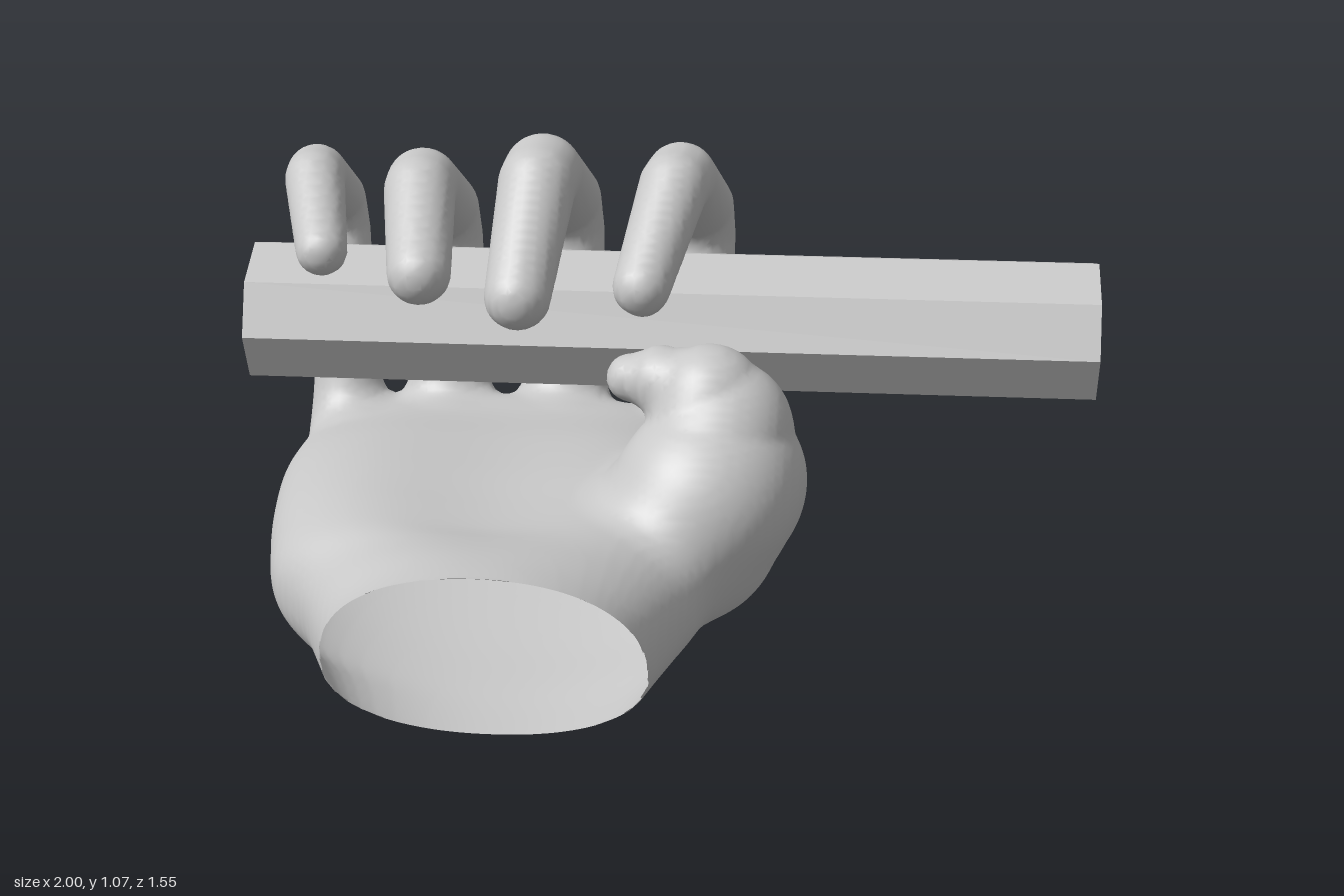
import * as THREE from 'three';

const grey = new THREE.MeshStandardMaterial({ color: 0xc8c8c8, side: THREE.DoubleSide });
grey.name = 'plain grey';
const barGrey = new THREE.MeshStandardMaterial({ color: 0xc8c8c8 });
barGrey.name = 'bar grey';
barGrey.flatShading = true;

// Palm cross-sections from knuckles to wrist: [z, left x, right x, bottom, top, hollow]
const palmRows = [
  [-0.54, -0.87, 0.07, 0.18, 0.345, 0],
  [-0.45, -0.9, 0.11, 0.145, 0.36, 0],
  [-0.33, -0.92, 0.13, 0.115, 0.38, 0.02],
  [-0.15, -0.93, 0.15, 0.075, 0.42, 0.05],
  [0.05, -0.915, 0.17, 0.045, 0.45, 0.08],
  [0.25, -0.885, 0.16, 0.02, 0.465, 0.1],
  [0.4, -0.845, 0.12, 0.01, 0.46, 0.07],
  [0.5, -0.77, 0.08, 0.003, 0.455, 0.03],
  [0.6, -0.725, 0.045, 0, 0.46, 0.01],
  [0.7, -0.69, 0.015, 0, 0.465, 0],
  [0.82, -0.68, 0, 0, 0.475, 0],
];

// Finger joints, knuckle to tip: [x, y, z, radius]
const fingers = [
  [[0.0, 0.265, -0.43, 0.07], [0.025, 0.275, -0.54, 0.1], [0.04, 0.775, -0.69, 0.09],
    [0.01, 1.0, -0.31, 0.084], [-0.055, 0.812, -0.05, 0.067]],
  [[-0.28, 0.255, -0.43, 0.07], [-0.29, 0.26, -0.54, 0.105], [-0.3, 0.785, -0.69, 0.098],
    [-0.315, 1.005, -0.3, 0.094], [-0.34, 0.785, -0.035, 0.077]],
  [[-0.57, 0.26, -0.42, 0.07], [-0.58, 0.27, -0.52, 0.1], [-0.6, 0.77, -0.645, 0.095],
    [-0.6, 0.97, -0.3, 0.086], [-0.57, 0.83, -0.055, 0.074]],
  [[-0.8, 0.26, -0.39, 0.06], [-0.83, 0.27, -0.47, 0.085], [-0.87, 0.78, -0.675, 0.074],
    [-0.86, 0.975, -0.34, 0.072], [-0.805, 0.86, -0.11, 0.06]],
];

// Thumb: broad base rising beside the palm, tip folded inward
const thumbBase = [[0.09, 0.38, 0.2, 0.195], [0.12, 0.37, 0.06, 0.18]];
const thumb = [[0.1, 0.27, 0.15, 0.15], [0.135, 0.42, 0.12, 0.19], [0.145, 0.53, 0.09, 0.155],
  [0.11, 0.595, 0.08, 0.125], [0, 0.625, 0.05, 0.078], [-0.075, 0.62, 0.03, 0.055]];

// Ease each bend with a point on either side of the joint
function ease(joints) {
  const mix = (a, b, t) => a.map((v, k) => v + (b[k] - v) * t);
  return joints.flatMap((joint, i) => (i === 0 || i === joints.length - 1 ? [joint]
    : [mix(joint, joints[i - 1], 0.12), mix(joint, joints[i + 1], 0.12)]));
}

const section = new THREE.CubicInterpolant(palmRows.map((r) => r[0]), palmRows.flatMap((r) => r.slice(1)), 5);
const limbs = [...fingers.map(ease), thumbBase, thumb];

// Soft union of two distances
function blend(a, b, k) {
  const h = Math.max(k - Math.abs(a - b), 0) / k;
  return Math.min(a, b) - h * h * k * 0.25;
}

// Distance to the palm: rounded section with a hollow top, closed off at the knuckles
function palmDistance(x, y, z) {
  const [xl, xr, yb, yt, hollow] = section.evaluate(z);
  const hx = (xr - xl) / 2, hy = (yt - yb) / 2;
  const u = (x - (xl + xr) / 2) / hx;
  let v = (y - (yb + yt) / 2) / hy;
  if (v > 0) v *= 1 + (hollow / hy) * Math.exp(-4 * u * u);
  const g = Math.pow(Math.abs(u) ** 2.2 + Math.abs(v) ** 2.2, 1 / 2.2) + 1e-6;
  const side = (g - 1) * g / (Math.hypot(u / hx, v / hy) + 1e-6);
  return -blend(-side, 0.55 + z, 0.12);
}

// Distance to a chain of tapered round segments
function limbDistance(path, x, y, z) {
  let best = Infinity;
  for (let i = 0; i < path.length - 1; i++) {
    const a = path[i], b = path[i + 1];
    const dx = b[0] - a[0], dy = b[1] - a[1], dz = b[2] - a[2];
    const px = x - a[0], py = y - a[1], pz = z - a[2];
    const t = Math.min(Math.max((px * dx + py * dy + pz * dz) / (dx * dx + dy * dy + dz * dz), 0), 1);
    const ex = px - dx * t, ey = py - dy * t, ez = pz - dz * t;
    best = Math.min(best, Math.sqrt(ex * ex + ey * ey + ez * ez) - a[3] - (b[3] - a[3]) * t);
  }
  return best;
}

function handDistance(x, y, z) {
  let d = palmDistance(x, y, z);
  limbs.forEach((path, i) => { d = blend(d, limbDistance(path, x, y, z), i < fingers.length ? 0.07 : 0.1); });
  return d;
}

// One smooth skin over palm, fingers and thumb, open at the slanted wrist
function handGeometry() {
  const step = 0.018, origin = [-1.03, -0.06, -0.85], size = [82, 70, 96];
  const stride = [1, size[0], size[0] * size[1]];
  const at = (i, k) => origin[k] + i * step;
  const field = new Float32Array(size[0] * size[1] * size[2]);
  const eachCell = (from, visit) => {
    for (let k = from; k < size[2] - 1; k++) {
      for (let j = from; j < size[1] - 1; j++) {
        for (let i = from; i < size[0] - 1; i++) visit([i, j, k], i + j * stride[1] + k * stride[2]);
      }
    }
  };
  for (let k = 0, c = 0; k < size[2]; k++) {
    for (let j = 0; j < size[1]; j++) {
      for (let i = 0; i < size[0]; i++) field[c++] = handDistance(at(i, 0), at(j, 1), at(k, 2));
    }
  }

  // One point in every cell the skin passes through
  const pointOf = new Int32Array(field.length).fill(-1);
  const points = [], beyond = [], index = [];
  eachCell(0, (cell, c) => {
    const sum = [0, 0, 0];
    let hits = 0;
    for (let corner = 0; corner < 8; corner++) {
      const bits = [corner & 1, (corner >> 1) & 1, corner >> 2];
      const a = field[c + bits[0] + bits[1] * stride[1] + bits[2] * stride[2]];
      for (let axis = 0; axis < 3; axis++) {
        if (bits[axis]) continue;
        const b = field[c + bits[0] + bits[1] * stride[1] + bits[2] * stride[2] + stride[axis]];
        if ((a < 0) === (b < 0)) continue;
        hits++;
        for (let m = 0; m < 3; m++) sum[m] += bits[m] + (m === axis ? a / (a - b) : 0);
      }
    }
    if (!hits) return;
    const p = sum.map((s, m) => at(cell[m] + s / hits, m));
    // Settle the point on the skin
    for (let pass = 0; pass < 2; pass++) {
      const e = 0.004, d = handDistance(...p);
      const slope = p.map((_, m) => {
        const q = p.map((v, n) => v + (n === m ? e : 0)), r = p.map((v, n) => v - (n === m ? e : 0));
        return (handDistance(...q) - handDistance(...r)) / (2 * e);
      });
      const steep = Math.max(slope[0] ** 2 + slope[1] ** 2 + slope[2] ** 2, 0.2);
      for (let m = 0; m < 3; m++) p[m] -= slope[m] * d / steep;
    }
    // Trim at the wrist
    const wrist = 0.69 + (p[1] - 0.235) * 0.38;
    pointOf[c] = points.length;
    beyond.push(p[2] > wrist);
    points.push(new THREE.Vector3(p[0], p[1], Math.min(p[2], wrist)));
  });

  // A four-sided face across every grid edge that crosses the skin
  eachCell(1, (cell, c) => {
    for (let axis = 0; axis < 3; axis++) {
      if ((field[c] < 0) === (field[c + stride[axis]] < 0)) continue;
      const s = stride[(axis + 1) % 3], t = stride[(axis + 2) % 3];
      const quad = [c - s - t, c - t, c, c - s].map((n) => pointOf[n]);
      if (quad.every((n) => beyond[n])) continue;
      if (field[c] >= 0) quad.reverse();
      index.push(quad[0], quad[1], quad[2], quad[0], quad[2], quad[3]);
    }
  });
  const geometry = new THREE.BufferGeometry().setFromPoints(points);
  geometry.setIndex(index);
  geometry.computeVertexNormals();
  return geometry;
}

export function createModel() {
  const group = new THREE.Group();

  const hand = new THREE.Mesh(handGeometry(), grey);
  hand.name = 'hand';

  // Eight-sided bar held by the hand
  const barGeometry = new THREE.CylinderGeometry(1, 1, 2, 8);
  barGeometry.rotateZ(Math.PI / 2);
  barGeometry.scale(1, 0.168, 0.194);
  const bar = new THREE.Mesh(barGeometry, barGrey);
  bar.name = 'bar';
  bar.position.set(0, 0.643, -0.28);

  group.add(hand, bar);
  return group;
}
